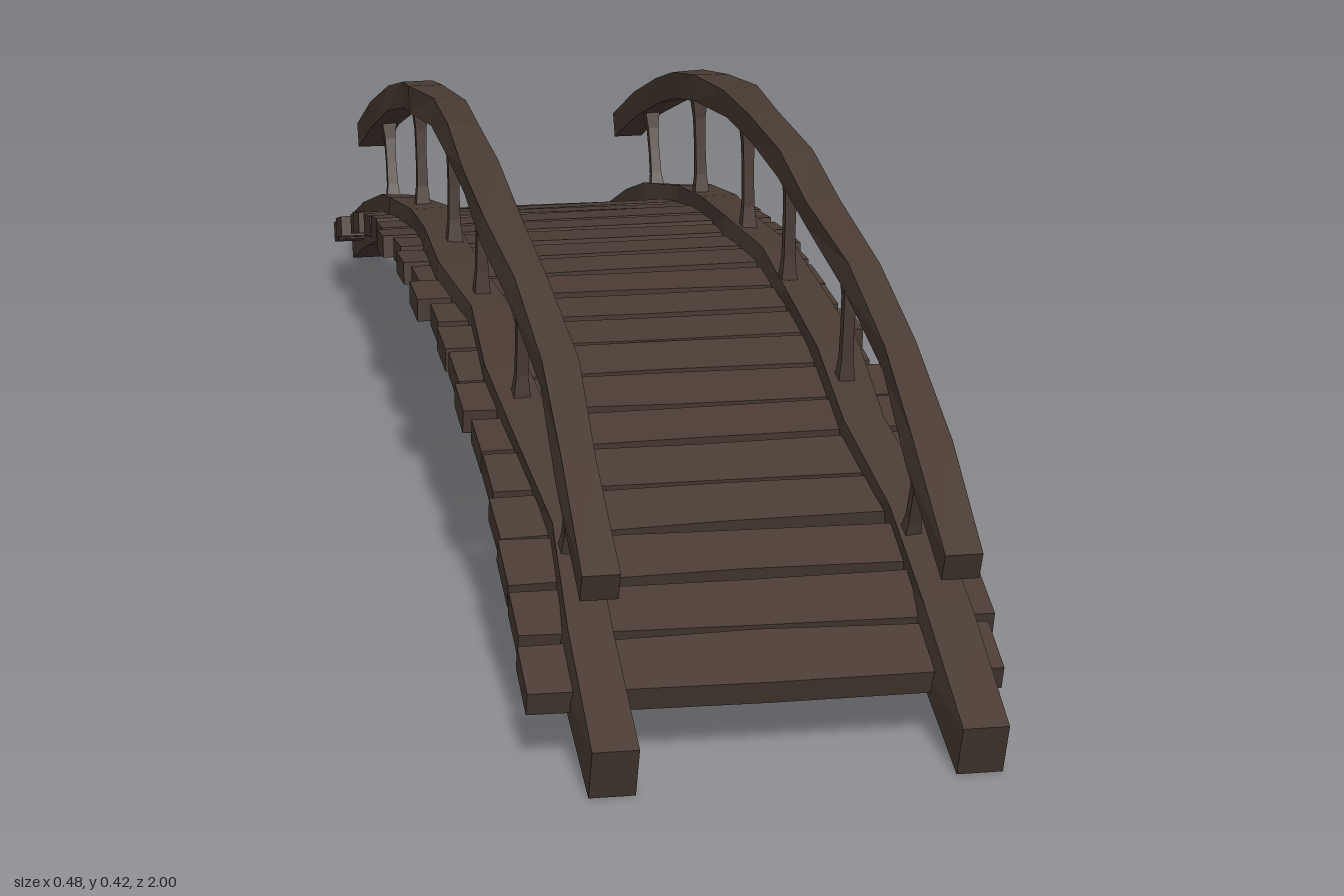
import * as THREE from 'three';

const wood = new THREE.MeshStandardMaterial({ color: 0x4a3c34 });
wood.name = 'dark brown wood';

// Small seeded generator for hand-hewn irregularity, -1 to 1
function makeRandom(seed) {
  let s = seed;
  return () => {
    s = (s * 16807) % 2147483647;
    return (s / 2147483647) * 2 - 1;
  };
}

// Parabolic arch: centre height and slope angle at z
const deckArch = { top: 0.23, rise: 0.2, half: 0.99 };
const railArch = { top: 0.402, rise: 0.213, half: 0.92 };
const archY = (a, z) => a.top - a.rise * (z / a.half) ** 2;
const archAngle = (a, z) => Math.atan(2 * a.rise * z / (a.half * a.half));

function faceted(geometry) {
  const g = geometry.toNonIndexed();
  g.computeVertexNormals();
  return g;
}

function addPart(parent, name, geometry) {
  const mesh = new THREE.Mesh(faceted(geometry), wood);
  mesh.name = name;
  parent.add(mesh);
  return mesh;
}

// Box swept along an arch; offsets shift its sections sideways from front to back
function archedBeam(arch, x, width, height, offsets, seed) {
  const n = offsets.length - 1;
  const random = makeRandom(seed);
  const sections = offsets.map((dx, i) => ({
    dx,
    twist: i > 0 && i < n ? random() * 0.12 : 0,
    swell: i > 0 && i < n ? 1 + random() * 0.12 : 1,
  }));
  const g = new THREE.BoxGeometry(width, height, 2, 1, 1, n);
  const p = g.attributes.position;
  for (let i = 0; i < p.count; i++) {
    const k = Math.round((1 - p.getZ(i)) / 2 * n);
    const { dx, twist, swell } = sections[k];
    const z = arch.half * (1 - 2 * k / n);
    const angle = archAngle(arch, z);
    const u = p.getX(i) * swell;
    const v = p.getY(i) + u * twist;
    p.setXYZ(i, x + dx + u - p.getY(i) * twist,
      archY(arch, z) + v * Math.cos(angle), z + v * Math.sin(angle));
  }
  return g;
}

// Slightly crooked deck board with one extra bend in its middle
function plankGeometry(random) {
  const g = new THREE.BoxGeometry(0.46, 0.026, 0.071, 2, 1, 1);
  const p = g.attributes.position;
  const ends = [random() * 0.007, random() * 0.007];
  const depth = [0, 1, 2].map(() => 1 + random() * 0.12);
  const bend = random() * 0.004;
  for (let i = 0; i < p.count; i++) {
    const x = p.getX(i);
    const k = Math.round(x / 0.23) + 1;
    const shift = k === 0 ? ends[0] : k === 2 ? ends[1] : 0;
    p.setX(i, x + shift);
    p.setZ(i, p.getZ(i) * depth[k] + (k === 1 ? bend : 0));
  }
  return g;
}

// Square post, narrow in the middle and flared at both ends
function postGeometry(length) {
  const g = new THREE.BoxGeometry(0.014, length, 0.016, 1, 4, 1);
  const p = g.attributes.position;
  for (let i = 0; i < p.count; i++) {
    const flare = 0.85 + 0.6 * Math.abs(2 * p.getY(i) / length) ** 3;
    p.setX(i, p.getX(i) * flare);
    p.setZ(i, p.getZ(i) * flare);
  }
  return g;
}

export function createModel() {
  const bridge = new THREE.Group();
  bridge.name = 'archedFootbridge';

  // Two crooked beams carrying the deck
  const beamBends = {
    right: [0, 0, 0.012, 0.006, -0.004, 0.004, -0.01, -0.006, 0.004, -0.008, 0.004, 0, 0],
    left: [0, 0, 0.008, -0.006, 0.004, 0.006, 0.007, -0.004, 0.005, 0.006, -0.006, 0, 0],
  };
  addPart(bridge, 'rightBeam', archedBeam(deckArch, -0.177, 0.045, 0.058, beamBends.right, 11));
  addPart(bridge, 'leftBeam', archedBeam(deckArch, 0.176, 0.045, 0.058, beamBends.left, 29));

  // Handrails
  const railBends = {
    right: [0, 0.002, 0.011, 0.004, -0.004, -0.002, -0.002, 0.003, -0.004, 0.006, 0.003, 0, 0],
    left: [0, 0.004, 0.01, 0.006, -0.002, 0, -0.003, 0.002, -0.005, -0.003, 0.004, 0, 0],
  };
  addPart(bridge, 'rightHandrail', archedBeam(railArch, -0.178, 0.037, 0.032, railBends.right, 47));
  addPart(bridge, 'leftHandrail', archedBeam(railArch, 0.17, 0.037, 0.032, railBends.left, 83));

  // Deck boards
  const deck = new THREE.Group();
  deck.name = 'deck';
  bridge.add(deck);
  const random = makeRandom(1234);
  const count = 22;
  for (let i = 0; i < count; i++) {
    const z = 0.856 - i * 1.715 / (count - 1);
    const plank = addPart(deck, 'plank', plankGeometry(random));
    plank.position.set(-0.003 + random() * 0.004, archY(deckArch, z) - 0.005, z);
    plank.rotation.set(archAngle(deckArch, z) + random() * 0.03, random() * 0.012, random() * 0.008);
  }

  // Posts lean outward with the arch
  const posts = new THREE.Group();
  posts.name = 'posts';
  bridge.add(posts);
  for (const x of [-0.175, 0.172]) {
    for (const [foot, head] of [[0.112, 0.12], [0.403, 0.422], [0.705, 0.752]]) {
      for (const side of [1, -1]) {
        const a = new THREE.Vector3(x, archY(deckArch, foot) + 0.015, side * foot);
        const b = new THREE.Vector3(x, archY(railArch, head) - 0.008, side * head);
        const post = addPart(posts, 'post', postGeometry(a.distanceTo(b)));
        post.position.copy(a).add(b).multiplyScalar(0.5);
        post.rotation.x = Math.atan2(b.z - a.z, b.y - a.y);
      }
    }
  }
  return bridge;
}
